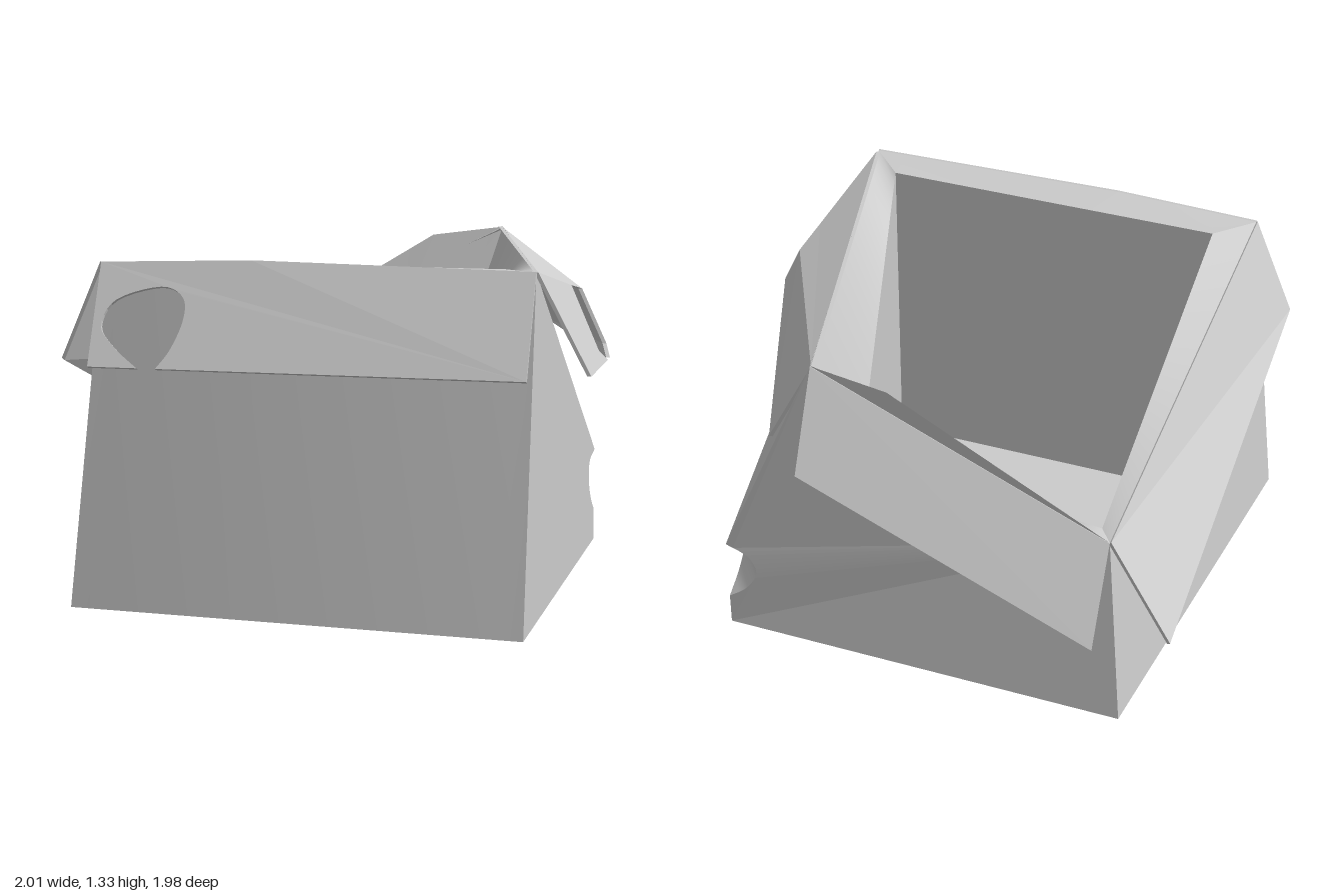
import * as THREE from 'three';

const V = (x, y, z) => new THREE.Vector3(x, y, z);
const material = new THREE.MeshStandardMaterial({ color: 0xcccccc, side: THREE.DoubleSide });
const thickness = 0.015;

function mesh(name, geometry) {
  geometry.computeVertexNormals();
  const m = new THREE.Mesh(geometry, material);
  m.name = name;
  return m;
}

// Flat-shaded polygon; corners run counter-clockwise seen from its front
function panel(name, pts) {
  const n = V(0, 0, 0);
  pts.forEach((p, i) => n.add(p.clone().cross(pts[(i + 1) % pts.length])));
  n.normalize();
  const u = (Math.abs(n.y) > 0.9 ? V(1, 0, 0) : V(0, 1, 0)).cross(n).normalize();
  const v = n.clone().cross(u);
  const flat = pts.map(p => new THREE.Vector2(p.dot(u), p.dot(v)));
  const corners = THREE.ShapeUtils.triangulateShape(flat, []).flat().map(i => pts[i]);
  return mesh(name, new THREE.BufferGeometry().setFromPoints(corners));
}

// Point at fraction t along a polyline whose points sit at the given stops
function along(stops, pts, t) {
  let i = 0;
  while (i < stops.length - 2 && t > stops[i + 1]) i++;
  return pts[i].clone().lerp(pts[i + 1], (t - stops[i]) / (stops[i + 1] - stops[i]));
}

// Smooth twisted sheet between a lower polyline and an upper one
function strip(name, low, high) {
  const pts = [], index = [];
  low.forEach((p, i) => {
    pts.push(p, high[i]);
    const k = 2 * i;
    if (i) index.push(k - 2, k, k + 1, k - 2, k + 1, k - 1);
  });
  return mesh(name, new THREE.BufferGeometry().setFromPoints(pts).setIndex(index));
}

// Evenly sampled polyline with an optional bend
const sample = (stops, pts) =>
  Array.from({ length: 26 }, (_, i) => along(stops, pts, i / 25));
const line = (a, b) => sample([0, 1], [a, b]);

function extrude(outline) {
  const shape = new THREE.Shape(outline.map(([u, v]) => new THREE.Vector2(u, v)));
  return new THREE.ExtrudeGeometry(shape, { depth: 1, bevelEnabled: false });
}

// Thin hinged sheet: an outline in (along, down) fractions laid between two edges
function flap(name, outline, stops, top, bottom) {
  const g = extrude(outline);
  const side = top[top.length - 1].clone().sub(top[0]);
  const inward = side.cross(bottom[0].clone().sub(top[0])).normalize();
  const pos = g.attributes.position;
  for (let i = 0; i < pos.count; i++) {
    const p = along(stops, top, pos.getX(i))
      .lerp(along([0, 1], bottom, pos.getX(i)), pos.getY(i))
      .addScaledVector(inward, (pos.getZ(i) - 0.5) * thickness);
    pos.setXYZ(i, p.x, p.y, p.z);
  }
  return mesh(name, g);
}

// Sloping flap with a torn hole, its back corners pulled in with the box corner
function pulledFlap(name, outline) {
  const g = extrude(outline.map(([z, y]) => [-z, y]));
  const pos = g.attributes.position;
  for (let i = 0; i < pos.count; i++) {
    const z = -pos.getX(i), y = pos.getY(i);
    const pull = z < -0.5 ? 0.4 : 0;
    const x = 0.8 + 0.53 * (1.31 - y) - pull + (pos.getZ(i) - 0.5) * thickness;
    pos.setXYZ(i, x, y, z);
  }
  return mesh(name, g);
}

export function createModel() {
  const box = new THREE.Group();
  box.name = 'openBox';

  // Corners in order: front right, front left, back left, back right
  const base = [V(-0.95, 0, 0.86), V(0.805, 0, 0.99), V(0.805, 0, -0.81), V(-0.82, 0, -0.81)];
  const rim = [V(-0.83, 1.305, 0.785), V(0.805, 1.305, 0.785), V(0.4, 1.33, -0.81), V(-0.74, 0.78, -0.74)];
  const inner = [V(-0.69, 1.3, 0.645), V(0.67, 1.3, 0.645), V(0.27, 0.88, -0.68), V(-0.69, 0.79, -0.68)];
  const floor = inner.map(p => V(p.x, 0.01, p.z));
  const shoulder = V(0.805, 0.39, -0.81);
  const frontBend = V(-0.25, 1.323, 0.785), backBend = V(0.1, 1.29, -0.813);

  // Rim edges, the front and back ones slightly bent
  const rimEdges = [
    sample([0, 0.36, 1], [rim[0], frontBend, rim[1]]),
    line(rim[1], rim[2]),
    sample([0, 0.28, 1], [rim[2], backBend, rim[3]]),
    line(rim[3], rim[0]),
  ];

  // Bite out of the back corner: matching curves on the side and back walls
  const curve = pts => new THREE.CatmullRomCurve3(pts).getPoints(14);
  const biteStart = V(0.805, 0.13, -0.81);
  const sideBite = curve([biteStart, V(0.805, 0.2, -0.71), V(0.805, 0.29, -0.645),
    V(0.805, 0.36, -0.66), shoulder]);
  const backBite = curve([biteStart, V(0.73, 0.19, -0.81), V(0.68, 0.28, -0.81),
    V(0.71, 0.35, -0.81), shoulder]);
  box.add(strip('cornerBite', sideBite, backBite));

  // Outer walls and underside
  box.add(strip('frontWall', line(base[0], base[1]), rimEdges[0]));
  box.add(panel('leftWall', [base[1], base[2], ...sideBite, rim[1]]));
  box.add(panel('leftWallCrumple', [rim[1], shoulder, rim[2]]));
  box.add(panel('backWall', [base[2], base[3], rim[3], backBend, rim[2], ...backBite.slice().reverse()]));
  box.add(strip('rightWall', line(base[3], base[0]), rimEdges[3]));
  box.add(panel('underside', base.slice().reverse()));

  // Rim and cavity
  for (let i = 0; i < 4; i++) {
    const j = (i + 1) % 4;
    box.add(strip('rim', rimEdges[i], line(inner[i], inner[j])));
    box.add(panel('cavityWall', [inner[j], inner[i], floor[i], floor[j]]));
  }
  box.add(panel('cavityFloor', floor));

  // Front flap with a torn round handle hole
  const hole = new THREE.SplineCurve([[0.16, 1], [0.19, 0.82], [0.213, 0.55], [0.207, 0.34],
    [0.153, 0.24], [0.05, 0.36], [0.02, 0.61], [0.06, 0.82], [0.117, 1]]
    .map(p => new THREE.Vector2(...p))).getPoints(40).map(p => [p.x, Math.min(p.y, 1)]);
  box.add(flap('frontFlap', [[0, 0], [0.36, 0], [1, 0], [1, 1], ...hole, [0, 1]], [0, 0.36, 1],
    [rim[0], frontBend, rim[1]], [V(-0.83, 0.935, 0.96), V(0.805, 0.935, 0.975)]));

  // Left flap as (z, y) points, with an angular torn hole
  box.add(pulledFlap('leftFlap', [[0.775, 1.305], [0.775, 0.935], [0.33, 0.935], [0.41, 0.98],
    [0.3, 1.21], [0.13, 1.18], [0.2, 0.98], [0.27, 0.935], [-0.79, 0.955], [-0.81, 1.33]]));

  // Plain back and right flaps
  const plain = [[0, 0], [1, 0], [1, 1], [0, 1]];
  box.add(flap('backFlap', plain, [0, 1], [rim[2], rim[3]],
    [V(0.4, 0.955, -0.985), V(-0.74, 0.41, -0.92)]));
  box.add(flap('rightFlap', plain, [0, 1], [rim[3], rim[0]],
    [V(-0.995, 0.41, -0.785), V(-0.995, 0.935, 0.77)]));

  return box;
}
